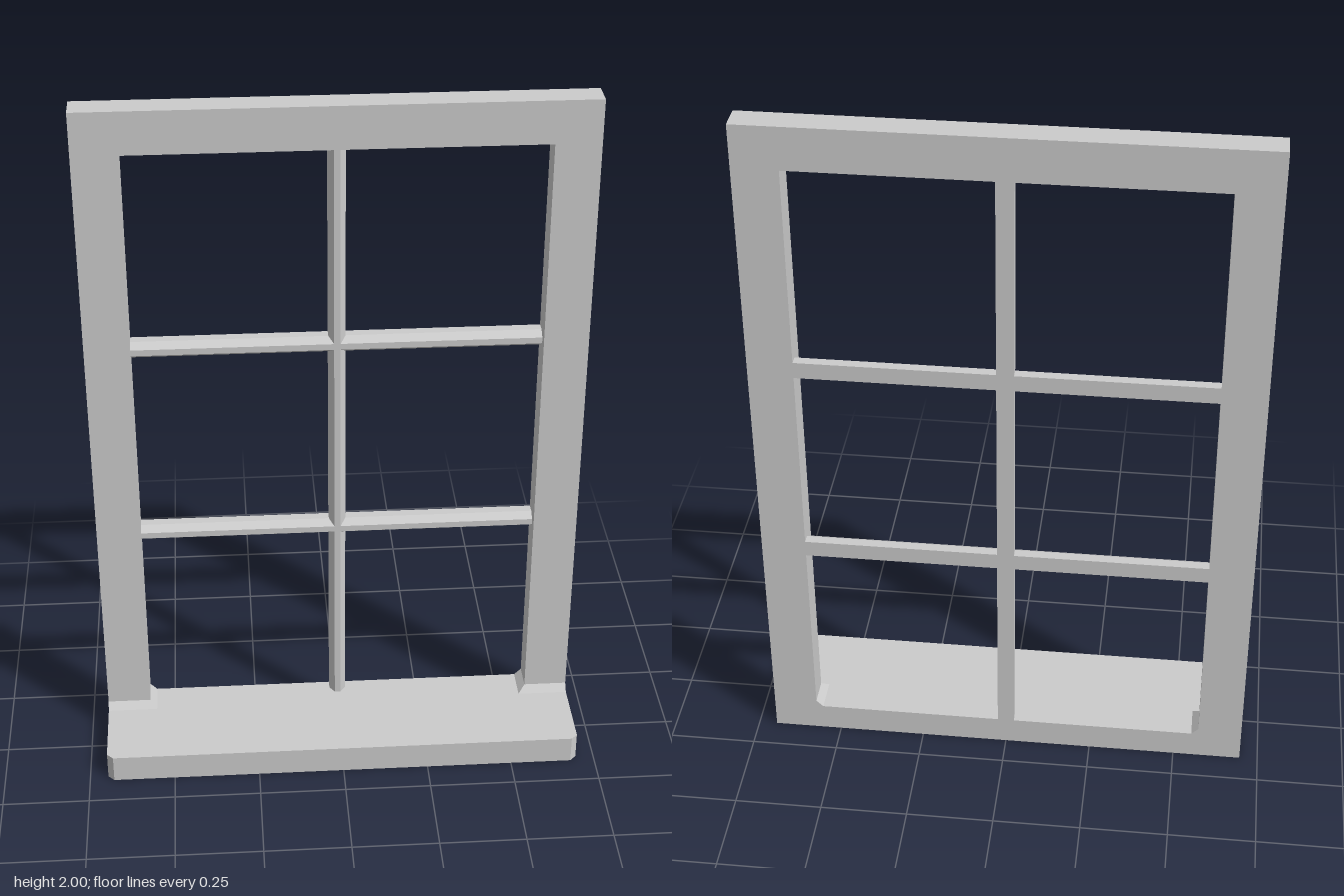
import * as THREE from 'three';
import { ConvexGeometry } from 'three/addons/geometries/ConvexGeometry.js';

const HALF_W = 0.697, HEIGHT = 2;            // outer frame
const OPEN_X = 0.571, OPEN_TOP = 1.878;      // opening
const SILL_H = 0.082, FILLET = 0.02;
const BACK = -0.162, FACE = -0.083, FRONT = 0.162;

const material = new THREE.MeshStandardMaterial({ color: 0xcccccc, flatShading: true });

function polygon(points) {
  return new THREE.Shape(points.map(([x, y]) => new THREE.Vector2(x, y)));
}

function extrude(shape, depth) {
  return new THREE.ExtrudeGeometry(shape, { depth, bevelEnabled: false });
}

export function createModel() {
  const group = new THREE.Group();
  const add = (name, geometry) => {
    const mesh = new THREE.Mesh(geometry, material);
    mesh.name = name;
    group.add(mesh);
    return mesh;
  };

  // Frame: one board with an opening whose lower corners are chamfered
  const board = polygon([[-HALF_W, 0], [HALF_W, 0], [HALF_W, HEIGHT], [-HALF_W, HEIGHT]]);
  board.holes.push(polygon([
    [-OPEN_X, OPEN_TOP], [OPEN_X, OPEN_TOP], [OPEN_X, SILL_H + FILLET], [OPEN_X - FILLET, SILL_H],
    [-OPEN_X + FILLET, SILL_H], [-OPEN_X, SILL_H + FILLET],
  ]));
  add('frame', extrude(board, FACE - BACK)).position.z = BACK;

  // Sill: plan outline with clipped front corners, raised upwards
  const clip = 0.018;
  const plan = polygon([
    [-HALF_W, -FACE], [-HALF_W, -FRONT + clip], [-HALF_W + clip, -FRONT],
    [HALF_W - clip, -FRONT], [HALF_W, -FRONT + clip], [HALF_W, -FACE],
  ]);
  add('sill', extrude(plan, SILL_H).rotateX(-Math.PI / 2));

  // Sloped fillets where the jambs meet the sill, mitred on the inside
  for (const side of [-1, 1]) {
    const corners = [
      [HALF_W, SILL_H, FACE], [HALF_W, SILL_H, FACE + FILLET], [HALF_W, SILL_H + FILLET, FACE],
      [OPEN_X - FILLET, SILL_H, FACE], [OPEN_X - FILLET, SILL_H, FACE + FILLET], [OPEN_X, SILL_H + FILLET, FACE],
    ].map(([x, y, z]) => new THREE.Vector3(side * x, y, z));
    add(side > 0 ? 'leftJambFillet' : 'rightJambFillet', new ConvexGeometry(corners));
  }

  // Glazing bars: flush at the back, tapering to a narrow flat front
  const half = 0.024, flat = 0.009, shoulder = 0.028, depth = 0.05;
  const section = polygon([
    [-half, 0], [half, 0], [half, shoulder], [flat, depth], [-flat, depth], [-half, shoulder],
  ]);

  // Local z runs along the bar, local y points to the front
  const upright = extrude(section, OPEN_TOP - SILL_H).rotateX(Math.PI / 2);
  add('verticalBar', upright).position.set(0, OPEN_TOP, BACK);

  for (const [name, y] of [['lowerBar', 0.678], ['upperBar', 1.28]]) {
    const bar = extrude(section, OPEN_X * 2).rotateX(Math.PI / 2).rotateZ(Math.PI / 2);
    add(name, bar).position.set(-OPEN_X, y, BACK);
  }

  return group;
}
